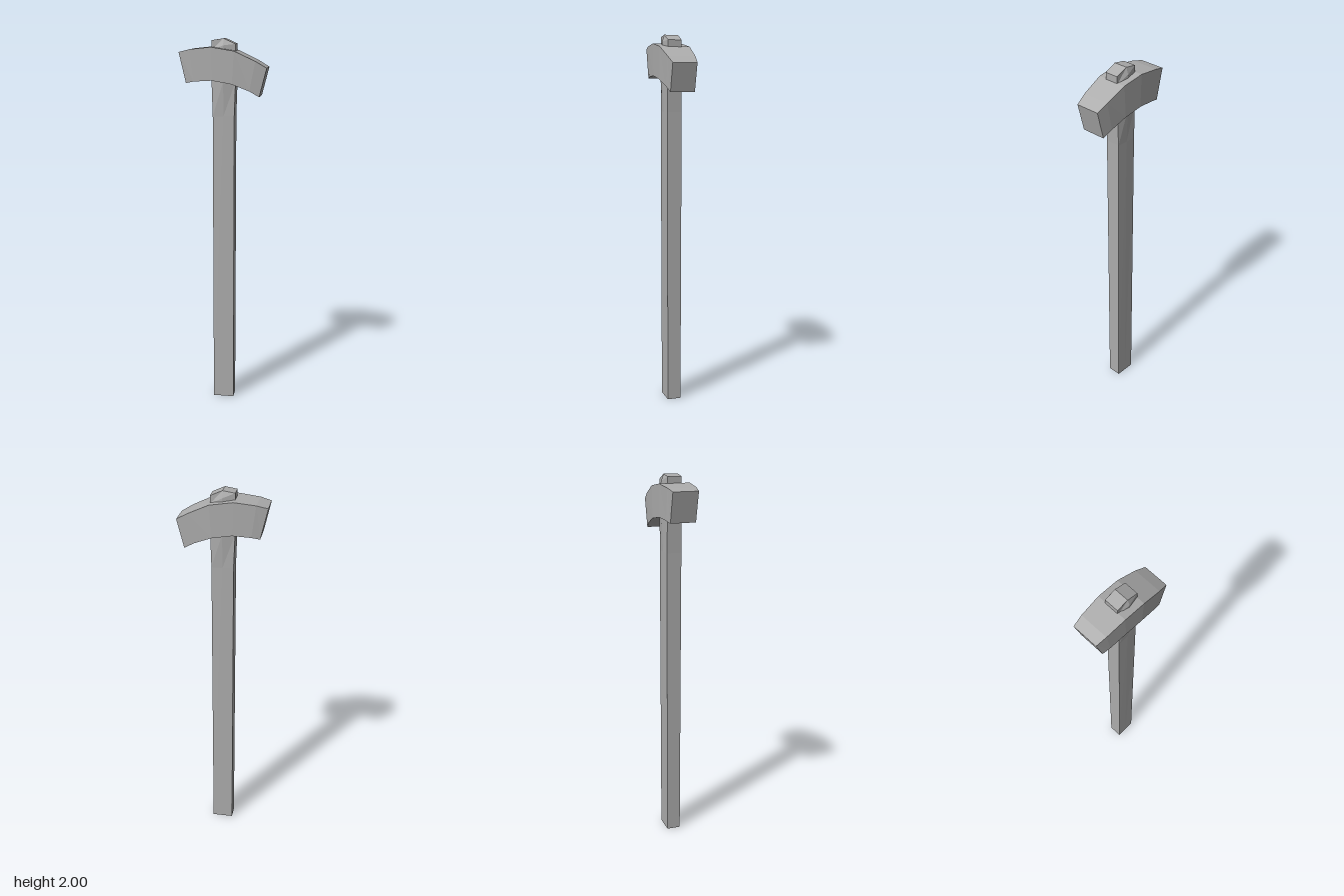
import * as THREE from 'three';

// Skin a series of equal-length rings, closing both ends
function loft(rings) {
  const pos = [];
  const tri = (...pts) => pts.forEach((p) => pos.push(...p));
  const n = rings[0].length;
  for (let r = 0; r < rings.length - 1; r++) {
    const a = rings[r], b = rings[r + 1];
    for (let i = 0; i < n; i++) {
      const j = (i + 1) % n;
      tri(a[i], a[j], b[j]);
      tri(a[i], b[j], b[i]);
    }
  }
  // End caps fan out from the second corner
  const first = rings[0], last = rings[rings.length - 1];
  for (let k = 1; k < n - 1; k++) {
    const i = (1 + k) % n, j = (2 + k) % n;
    tri(first[1], first[j], first[i]);
    tri(last[1], last[i], last[j]);
  }
  const geo = new THREE.BufferGeometry();
  geo.setAttribute('position', new THREE.Float32BufferAttribute(pos, 3));
  geo.computeVertexNormals();
  return geo;
}

export function createModel() {
  const group = new THREE.Group();
  const gray = new THREE.MeshStandardMaterial({ color: 0xacacac });
  gray.name = 'plain gray';
  gray.flatShading = true;

  const add = (name, geo) => {
    const mesh = new THREE.Mesh(geo, gray);
    mesh.name = name;
    group.add(mesh);
  };

  // Handle: six-sided rings with a ridge at x = 0 that swells near the head
  // [left y, middle y, right y, half width, corner z, ridge z]
  const handle = [
    [0, 0, 0, 0.056, 0.037, 0.037],
    [1.6, 1.6, 1.6, 0.057, 0.04, 0.041],
    [1.78, 1.78, 1.78, 0.063, 0.038, 0.049],
    [1.94, 1.965, 1.93, 0.063, 0.037, 0.05],
    [1.99, 2.0, 1.972, 0.063, 0.037, 0.038],
  ].map(([yl, ym, yr, w, c, z]) => [
    [w, yr, -c], [0, ym, -z], [-w, yl, -c],
    [-w, yl, c], [0, ym, z], [w, yr, c],
  ]);
  add('handle', loft(handle));

  // Head: curved block, thickest in the middle
  // [top x, top y, bottom x, bottom y, half depth]
  const head = [
    [-0.23, 1.931, -0.193, 1.773, 0.068],
    [-0.172, 1.945, -0.15, 1.782, 0.076],
    [-0.06, 1.957, -0.055, 1.788, 0.082],
    [0.06, 1.938, 0.05, 1.77, 0.082],
    [0.17, 1.887, 0.14, 1.735, 0.075],
    [0.228, 1.853, 0.19, 1.705, 0.066],
  ].map(([tx, ty, bx, by, z]) => [
    [tx, ty, -z], [tx, ty, z], [bx, by, z], [bx, by, -z],
  ]);
  add('hammerHead', loft(head));

  return group;
}
